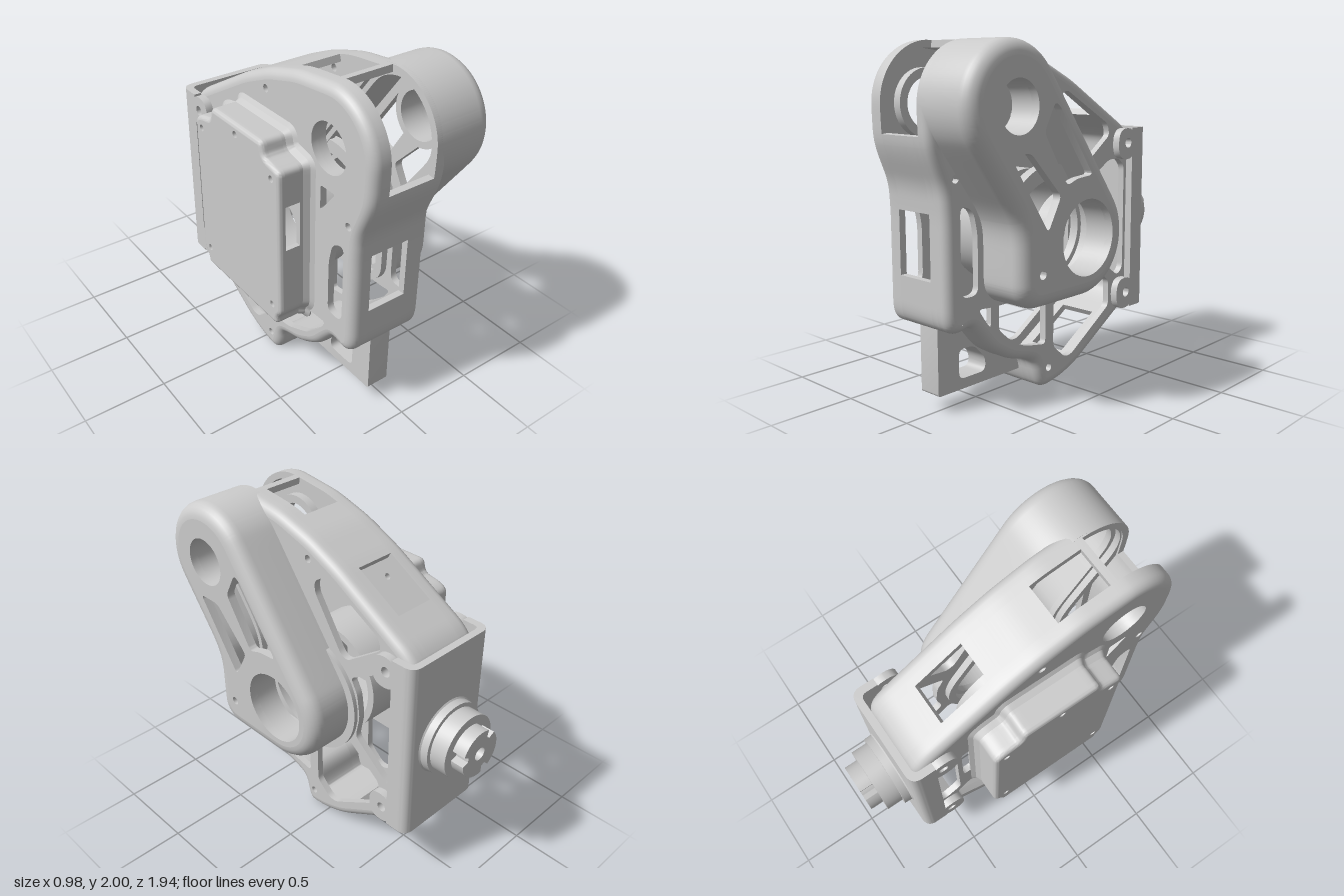
import * as THREE from 'three';
import { mergeGeometries, toCreasedNormals } from 'three/addons/utils/BufferGeometryUtils.js';

const material = new THREE.MeshStandardMaterial({ color: 0xcccccc });
const V = (x, y) => new THREE.Vector2(x, y);

// Profiles are listed as [z, y]; the drawing plane uses (-z, y) and extrudes along +x.
const poly = pts => pts.map(([z, y]) => V(-z, y));

// Closed polygon with softened corners
function rounded(pts, r) {
  const p = poly(pts), out = [], n = p.length;
  p.forEach((c, i) => {
    const ends = [p[(i + n - 1) % n], p[(i + 1) % n]].map(q => {
      const len = q.distanceTo(c);
      return c.clone().lerp(q, Math.min(r, len * 0.48) / len);
    });
    const curve = new THREE.QuadraticBezierCurve(ends[0], c, ends[1]);
    out.push(...curve.getPoints(5));
  });
  return out;
}

function subdivide(path, step) {
  return path.flatMap((a, i) => {
    const b = path[(i + 1) % path.length], n = Math.ceil(a.distanceTo(b) / step);
    return Array.from({ length: n }, (_, k) => a.clone().lerp(b, k / n));
  });
}

// Inward mitre vector at every point of a counter-clockwise path
function inward(path) {
  const n = path.length;
  const left = (a, b) => { const d = b.clone().sub(a).normalize(); return V(-d.y, d.x); };
  return path.map((p, i) => {
    const a = left(path[(i + n - 1) % n], p), b = left(p, path[(i + 1) % n]);
    return a.clone().add(b).divideScalar(Math.max(0.6, 1 + a.dot(b)));
  });
}
const offset = (path, d) => { const m = inward(path); return path.map((p, i) => p.clone().addScaledVector(m[i], d)); };

// Sweep a closed section of [inset, x] points round a path, leaving out window segments
function sweep(path, section, open = () => false) {
  if (THREE.ShapeUtils.area(section.map(s => V(...s))) < 0) section = [...section].reverse();
  const n = path.length, m = section.length, mitre = inward(path), pos = [];
  const at = (i, j) => {
    const k = i % n, [d, x] = section[j % m];
    return [x, path[k].y + mitre[k].y * d, -(path[k].x + mitre[k].x * d)];
  };
  const gap = i => {
    const a = path[(i + n) % n], b = path[(i + 1) % n];
    return open(-(a.x + b.x) / 2, (a.y + b.y) / 2);
  };
  for (let i = 0; i < n; i++) {
    if (gap(i)) continue;
    for (let j = 0; j < m; j++) {
      const a = at(i, j), b = at(i + 1, j), c = at(i + 1, j + 1), d = at(i, j + 1);
      pos.push(...a, ...d, ...b, ...b, ...d, ...c);
    }
    for (let j = 1; j < m - 1; j++) {
      if (gap(i - 1)) pos.push(...at(i, 0), ...at(i, j + 1), ...at(i, j));
      if (gap((i + 1) % n)) pos.push(...at(i + 1, 0), ...at(i + 1, j), ...at(i + 1, j + 1));
    }
  }
  const g = new THREE.BufferGeometry();
  g.setAttribute('position', new THREE.Float32BufferAttribute(pos, 3));
  return toCreasedNormals(g, 0.6);
}
const band = (x0, x1, t) => [[0, x0], [t, x0], [t, x1], [0, x1]];

// Flat plate between x0 and x1 with cut-outs
function plate(path, x0, x1, holes = []) {
  const shape = new THREE.Shape(path);
  shape.holes = holes.map(h => new THREE.Path(h));
  const g = new THREE.ExtrudeGeometry(shape, { depth: x1 - x0, bevelEnabled: false });
  g.rotateY(Math.PI / 2).translate(x0, 0, 0);
  g.deleteAttribute('uv');
  return toCreasedNormals(g, 0.6);
}
function disc(z, y, r, n = 48) {
  return Array.from({ length: n }, (_, i) => V(-z + r * Math.cos(i / n * 2 * Math.PI), y + r * Math.sin(i / n * 2 * Math.PI)));
}
const ring = (z, y, r, R, x0, x1) => plate(disc(z, y, R), x0, x1, [disc(z, y, r)]);

// Half shell: wall from x0, rounded edge and a cut-out face at x1
function shell(path, x0, x1, r, t, holes) {
  const s = Math.sign(x1 - x0), back = x1 - s * t;
  const section = [[0, x0], [t, x0], [t, back], [r, back]];
  for (let i = 0; i <= 6; i++) {
    const a = i / 6 * Math.PI / 2;
    section.push([r - r * Math.sin(a), x1 - s * r * (1 - Math.cos(a))]);
  }
  return [sweep(path, section), plate(offset(path, r), Math.min(back, x1), Math.max(back, x1), holes)];
}

export function createModel() {
  const model = new THREE.Group();
  const add = (name, ...geos) => {
    const mesh = new THREE.Mesh(geos.length > 1 ? mergeGeometries(geos) : geos[0], material);
    mesh.name = name;
    model.add(mesh);
  };
  const arc = (z, y, r, a0, a1, n) => Array.from({ length: n + 1 }, (_, i) => {
    const a = (a0 + (a1 - a0) * i / n) * Math.PI / 180;
    return [z - r * Math.cos(a), y + r * Math.sin(a)];
  });
  const top = [0.64, 1.665], low = [0.1, 0.935];

  // Side profile of the housing
  const outline = subdivide(rounded([
    [0.1, 0], [-0.02, 0.02], [-0.16, 0.07], [-0.62, 0.35], [-0.69, 0.42], [-0.69, 1.42], [-0.62, 1.5],
    [-0.12, 1.79], [0.1, 1.89], [0.35, 1.965], ...arc(...top, 0.335, 90, 180, 10),
    [0.97, 1.5], [0.95, 1.42], [0.88, 1.25], [0.87, 1.1], [0.87, 0.55], [0.84, 0.49], [0.78, 0.475], [0.7, 0.5],
    [0.65, 0.45], [0.55, 0.33], [0.4, 0.24], [0.25, 0.2], [0.2, 0.17], [0.18, 0.07], [0.15, 0.01]], 0.06), 0.03);
  // Belt cover profile
  const coverPath = subdivide(rounded([
    ...arc(...low, 0.335, -90, 36.7, 16), ...arc(...top, 0.335, 36.7, 216.7, 20),
    [0.66, 1.12], [0.62, 1.02], ...arc(0.47, 0.75, 0.15, 180, 270, 6)], 0.08), 0.04);

  // Cut-outs of the two side plates
  const screws = [[0.1, 1.78], [0.81, 1.3], [0.785, 0.55], [0.1, 0.12]].map(([z, y]) => disc(z, y, 0.023, 16));
  const pivots = [[-0.55, 1.4], [-0.55, 0.46]].map(([z, y]) => disc(z, y, 0.028, 20));
  const slot = rounded([[0.78, 0.67], [0.66, 0.67], [0.66, 1], [0.69, 1.13], [0.78, 1.16]], 0.05);
  const leftHoles = [...screws, ...pivots, slot, offset(coverPath, 0.08),
    rounded([[0.13, 0.27], [0.13, 0.55], [0.3, 0.58], [0.55, 0.58], [0.66, 0.59], [0.6, 0.5], [0.47, 0.38], [0.3, 0.3]], 0.03),
    rounded([[0.06, 0.24], [0.06, 0.55], [-0.05, 0.58], [-0.18, 0.68], [-0.22, 0.72], [-0.46, 0.54], [-0.46, 0.38], [-0.1, 0.15], [-0.04, 0.15]], 0.03),
    rounded([[-0.27, 0.78], [-0.3, 0.93], [-0.28, 1.08], [-0.23, 1.17], [-0.45, 1.3], [-0.55, 1.3], [-0.6, 1.25], [-0.6, 0.6], [-0.55, 0.56], [-0.49, 0.6]], 0.03),
    rounded([[0.05, 1.6], [0.05, 1.67], [-0.05, 1.73], [-0.43, 1.52], [-0.45, 1.45], [-0.2, 1.27], [-0.15, 1.29]], 0.03)];
  const rightHoles = [...screws, ...pivots, slot, disc(...top, 0.14), disc(...low, 0.3), disc(-0.07, 1.57, 0.02, 16),
    rounded([[0.7, 1.43], [0.58, 1.43], [0.58, 1.28]], 0.02),
    rounded([[0.13, 0.27], [0.13, 0.5], [0.46, 0.5], [0.5, 0.56], [0.64, 0.57], [0.6, 0.5], [0.47, 0.38], [0.3, 0.3]], 0.03),
    rounded([[0.06, 0.24], [0.06, 0.5], [-0.28, 0.5], [-0.36, 0.62], [-0.46, 0.54], [-0.46, 0.38], [-0.1, 0.15], [-0.04, 0.15]], 0.03),
    rounded([[-0.44, 1.28], [-0.55, 1.3], [-0.6, 1.25], [-0.6, 0.6], [-0.55, 0.56], [-0.44, 0.62]], 0.03),
    rounded([[-0.33, 0.83], [-0.33, 1.23], [-0.41, 1.23], [-0.41, 0.83]], 0.03)];
  add('leftHousing', ...shell(outline, 0.11, 0.2, 0.055, 0.04, leftHoles));
  add('rightHousing', ...shell(outline, -0.18, -0.29, 0.055, 0.04, rightHoles));

  // Rim wall between the side plates, with windows
  const mouth = (z, y) => z > 0.62 && y > 1.51;
  const windows = (z, y) => mouth(z, y) || (z > 0.8 && y > 0.75 && y < 1.11) ||
    (y > 1.2 && ((z > -0.45 && z < -0.15) || (z > 0.26 && z < 0.59))) || (y < 0.5 && z > -0.5 && z < -0.2);
  add('rimWall', sweep(outline, band(-0.18, 0.065, 0.04), windows), sweep(outline, band(0.065, 0.11, 0.04), mouth));

  // Belt cover with bearing collars
  const coverHoles = [disc(...top, 0.14), disc(...low, 0.215), disc(0.47, 0.79, 0.025, 16),
    rounded([[0.46, 1.53], [0.38, 1.68], [0.34, 1.66], [0.07, 1.28], [0.2, 1.27], [0.28, 1.24]], 0.03),
    rounded([[0.71, 1.43], [0.56, 1.43], [0.33, 1.19], [0.43, 1.01]], 0.03)];
  add('beltCover', ...shell(coverPath, 0.12, 0.49, 0.085, 0.05, coverHoles));
  add('coverCollars', ring(...top, 0.14, 0.18, 0.3, 0.485), ring(...low, 0.215, 0.245, 0.3, 0.485));
  add('coverSeat', ring(...low, 0.3, 0.385, 0.165, 0.225));
  add('shaftBoss', ring(...top, 0.14, 0.19, -0.285, -0.2));
  add('motorTube', ring(...low, 0.3, 0.345, -0.285, 0.03));

  // Electronics box on the right side
  const boxPath = subdivide(rounded([
    [0.46, 0.525], [-0.27, 0.525], [-0.28, 0.58], [-0.32, 0.62], [-0.32, 1.5], [-0.27, 1.53], [-0.16, 1.55], [-0.14, 1.63],
    [0.34, 1.63], [0.36, 1.55], [0.5, 1.52], [0.5, 0.62], [0.46, 0.58]], 0.03), 0.03);
  const boxScrews = [[0.43, 1.46], [-0.25, 1.46], [0.1, 1.57], [0.42, 0.65], [-0.24, 0.65]].map(([z, y]) => disc(z, y, 0.02, 16));
  add('electronicsBox', ...shell(boxPath, -0.45, -0.49, 0.025, 0.02, boxScrews),
    sweep(boxPath, band(-0.45, -0.36, 0.03), (z, y) => z > 0.47 && y > 1.05 && y < 1.3),
    sweep(boxPath, band(-0.36, -0.28, 0.03)),
    sweep(boxPath, [[0, -0.28], [-0.04, -0.28], [-0.04, -0.29], [-0.015, -0.305], [0, -0.34]]));

  // Foot fin under the front
  add('footFin', plate(rounded([[0.81, 0.1], [0.18, 0.1], [0.18, 0.2], [0.25, 0.22], [0.4, 0.26], [0.55, 0.35], [0.68, 0.52], [0.81, 0.52]], 0.015),
    -0.1, 0.04, [rounded([[0.66, 0.16], [0.46, 0.16], [0.46, 0.24], [0.55, 0.33], [0.66, 0.33]], 0.04)]));

  // Rear yoke: channel plus four pivot ears
  const u = new THREE.Shape();
  u.moveTo(-0.34, 0.59).lineTo(-0.295, 0.59).lineTo(-0.295, 0.66).quadraticCurveTo(-0.295, 0.695, -0.26, 0.695)
    .lineTo(0.19, 0.695).quadraticCurveTo(0.225, 0.695, 0.225, 0.66).lineTo(0.225, 0.59).lineTo(0.27, 0.59)
    .lineTo(0.27, 0.67).quadraticCurveTo(0.27, 0.738, 0.2, 0.738).lineTo(-0.27, 0.738).quadraticCurveTo(-0.34, 0.738, -0.34, 0.67);
  const channel = new THREE.ExtrudeGeometry(u, { depth: 1.13, bevelEnabled: false });
  channel.rotateX(-Math.PI / 2).translate(0, 0.36, 0);
  add('rearYoke', toCreasedNormals(channel, 0.6));
  for (const [y, name] of [[1.4, 'upperEar'], [0.46, 'lowerEar']]) {
    const y0 = y > 1 ? 1.3 : 0.36, y1 = y > 1 ? 1.49 : 0.555;
    const ear = rounded([[-0.455, y0], [-0.62, y0], [-0.62, y1], [-0.455, y1]], 0.11);
    for (const [x0, x1] of [[-0.34, -0.295], [0.225, 0.27]]) add(name, plate(ear, x0, x1, [disc(-0.55, y, 0.03, 24)]));
  }

  // Stepped output hub at the back with a notched end
  const hub = new THREE.LatheGeometry([[0.04, 0.73], [0.24, 0.73], [0.222, 0.745], [0.22, 0.79], [0.195, 0.79], [0.195, 0.89], [0.04, 0.89], [0.04, 0.73]]
    .map(p => V(...p)), 48).rotateX(-Math.PI / 2).translate(-0.035, 0.93, 0);
  add('outputHub', toCreasedNormals(hub, 0.5));
  const tip = new THREE.Shape(Array.from({ length: 72 }, (_, i) => {
    const a = i / 72 * 2 * Math.PI, r = i % 24 < 4 ? 0.1 : 0.142;
    return V(r * Math.cos(a), r * Math.sin(a));
  }));
  tip.holes.push(new THREE.Path(disc(0, 0, 0.04, 24)));
  const tipGeo = new THREE.ExtrudeGeometry(tip, { depth: 0.085, bevelEnabled: false });
  add('hubTip', toCreasedNormals(tipGeo.translate(-0.035, 0.93, -0.97), 0.5));
  return model;
}
